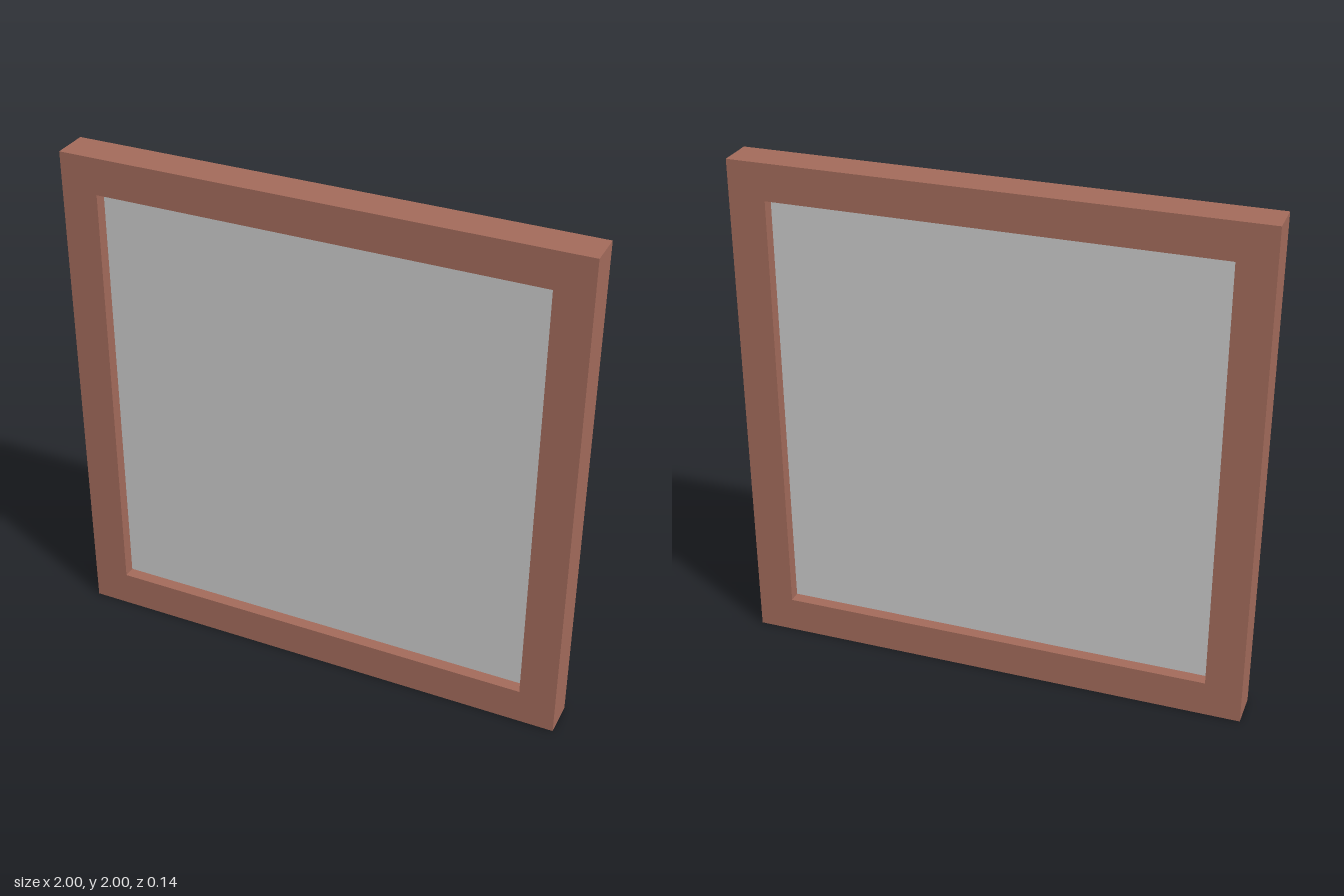
import * as THREE from 'three';

const SIZE = 2, RAIL = 0.143, DEPTH = 0.143, PANE = 0.048;

// Closed square outline centred on the origin
function square(PathType, half) {
  const path = new PathType();
  path.moveTo(-half, -half);
  path.lineTo(half, -half);
  path.lineTo(half, half);
  path.lineTo(-half, half);
  path.closePath();
  return path;
}

export function createModel() {
  const group = new THREE.Group();
  group.name = 'window';
  const half = SIZE / 2;
  const opening = half - RAIL;

  // Square frame with one opening
  const outline = square(THREE.Shape, half);
  outline.holes.push(square(THREE.Path, opening));
  const frameGeometry = new THREE.ExtrudeGeometry(outline, { depth: DEPTH, bevelEnabled: false });
  frameGeometry.translate(0, half, -DEPTH / 2);
  const frame = new THREE.Mesh(frameGeometry, new THREE.MeshStandardMaterial({ color: 0xa36b5b }));
  frame.name = 'frame';

  // Pane set midway in the frame's depth
  const pane = new THREE.Mesh(
    new THREE.BoxGeometry(opening * 2, opening * 2, PANE),
    new THREE.MeshStandardMaterial({ color: 0xcccccc })
  );
  pane.name = 'pane';
  pane.position.y = half;

  group.add(frame, pane);
  return group;
}
